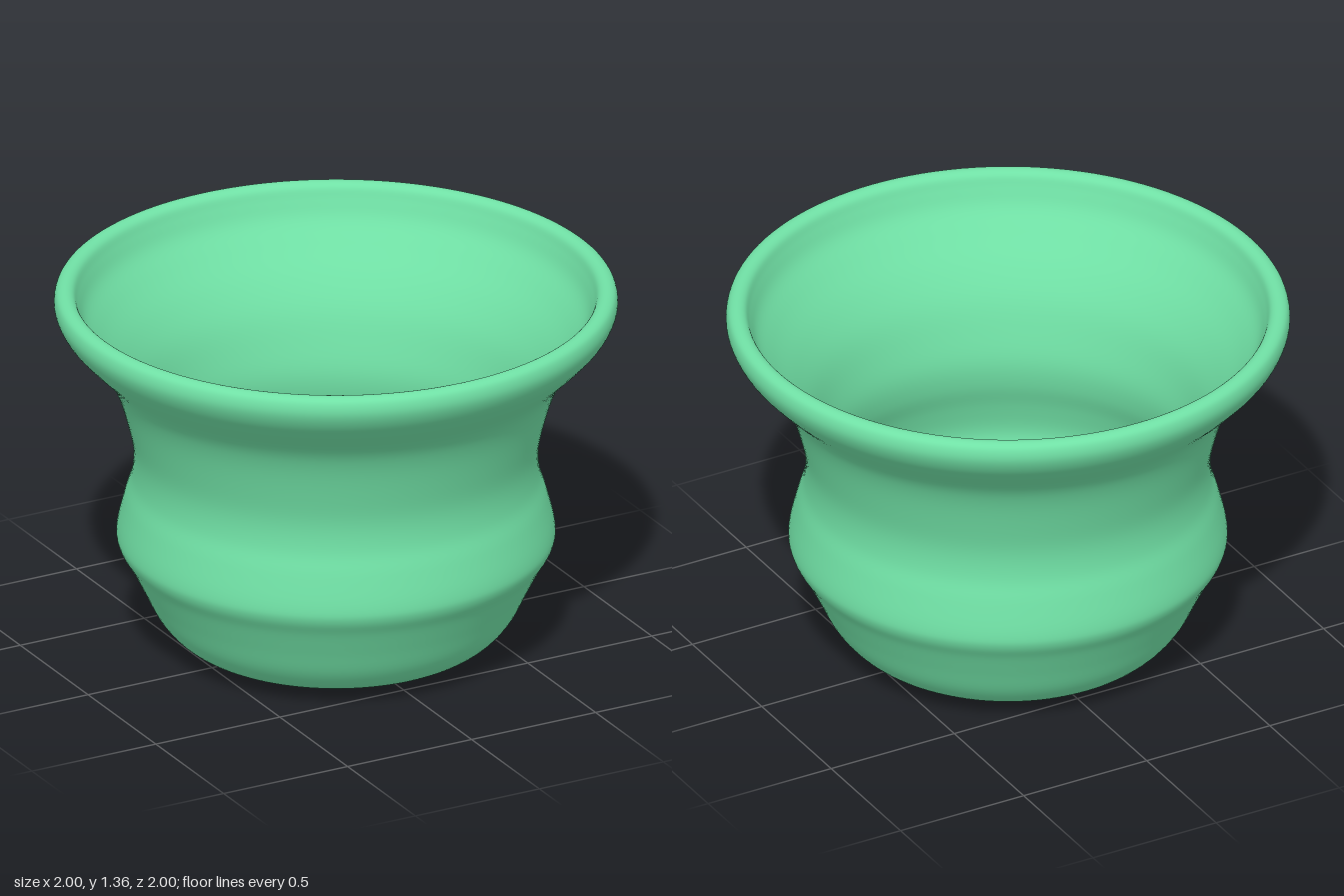
import * as THREE from 'three';

const SEGMENTS = 128;

// Smooth surface of revolution through [radius, height] points
function turned(name, points, samples, material) {
  const curve = new THREE.SplineCurve(points.map(([r, y]) => new THREE.Vector2(r, y)));
  const profile = curve.getPoints(samples);
  profile.forEach((p) => { p.x = Math.max(p.x, 0); p.y = Math.max(p.y, 0); });
  const mesh = new THREE.Mesh(new THREE.LatheGeometry(profile, SEGMENTS), material);
  mesh.name = name;
  return mesh;
}

export function createModel() {
  const group = new THREE.Group();
  group.name = 'flaredPot';
  const glaze = new THREE.MeshStandardMaterial({ color: 0x70e0a5 });

  // One closed wall: underside, waisted outside, rounded rim, inside, floor
  const pot = turned('potBody', [
    // underside and lower belly
    [0, 0.005], [0.2, 0.008], [0.4, 0.02], [0.51, 0.042], [0.58, 0.08], [0.64, 0.15],
    [0.69, 0.25], [0.735, 0.34], [0.772, 0.405], [0.775, 0.46],
    // waist and flare
    [0.748, 0.57], [0.722, 0.66], [0.718, 0.76], [0.74, 0.87], [0.78, 1.0],
    [0.83, 1.09], [0.925, 1.19], [0.975, 1.25],
    // rounded rim
    [0.998, 1.305], [0.99, 1.35], [0.96, 1.365], [0.93, 1.352], [0.912, 1.31],
    // inside, following the waist down to the floor
    [0.885, 1.25], [0.83, 1.18], [0.75, 1.08], [0.69, 0.98], [0.652, 0.87],
    [0.628, 0.76], [0.635, 0.66], [0.665, 0.56], [0.685, 0.46], [0.675, 0.39],
    [0.635, 0.29], [0.59, 0.19], [0.53, 0.13], [0.4, 0.1], [0.2, 0.09], [0, 0.088],
  ], 190, glaze);
  group.add(pot);
  return group;
}
